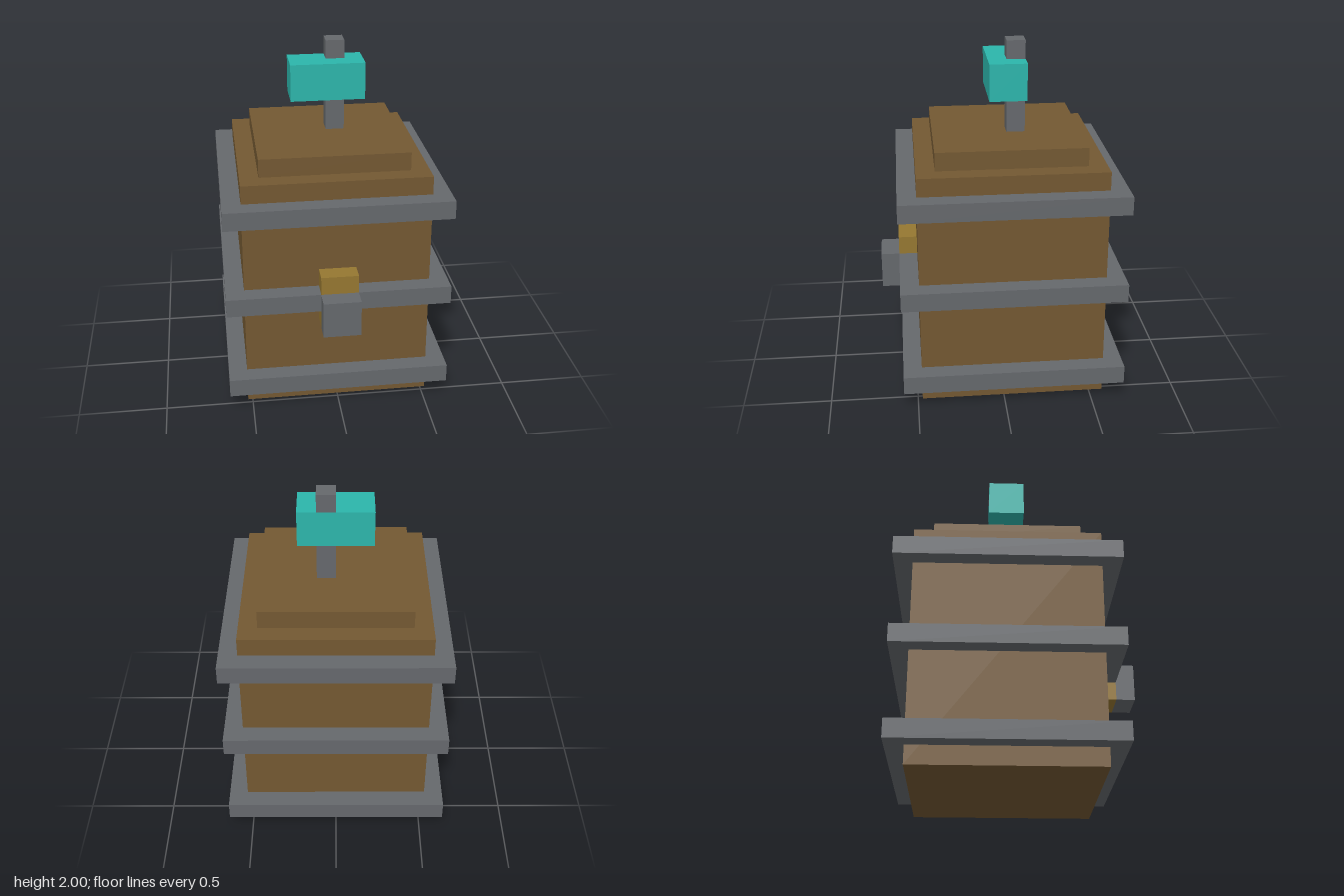
import * as THREE from 'three';

// Everything sits on a grid of 19 units to the full height of 2.
const U = 2 / 19;

const material = (name, color) => {
  const m = new THREE.MeshStandardMaterial({ color });
  m.name = name;
  return m;
};

export function createModel() {
  const wood = material('brown wood', 0x735832);
  const iron = material('grey iron', 0x65686c);
  const brass = material('dull brass', 0x957731);
  const teal = material('teal paint', 0x2cb5ab);

  const model = new THREE.Group();
  model.name = 'barrel';

  // Box given by its lowest and highest corners in grid units
  const addBox = (name, mat, [x0, y0, z0], [x1, y1, z1]) => {
    const geometry = new THREE.BoxGeometry((x1 - x0) * U, (y1 - y0) * U, (z1 - z0) * U);
    const mesh = new THREE.Mesh(geometry, mat);
    mesh.name = name;
    mesh.position.set(x0 + x1, y0 + y1, z0 + z1).multiplyScalar(U / 2);
    model.add(mesh);
  };

  // Square cask and its stepped lid
  addBox('body', wood, [-5, 0, -5.5], [5, 13, 4.5]);
  addBox('lid', wood, [-4, 13, -4.5], [4, 14, 3.5]);

  // Three iron bands
  ['lowerBand', 'middleBand', 'upperBand'].forEach((name, i) => {
    const y = 1 + i * 5;
    addBox(name, iron, [-6, y, -6.5], [6, y + 1, 5.5]);
  });

  // Front latch: brass plate with an iron block on it
  addBox('latchPlate', brass, [-1, 5, 4.5], [1, 8, 5.5]);
  addBox('latchBlock', iron, [-1, 5, 5.5], [1, 7, 6.5]);

  // Post on the lid, passing through a teal handle
  addBox('lowerPost', iron, [0, 14, -1.5], [1, 16, -0.5]);
  addBox('handle', teal, [-2, 16, -1.5], [2, 18, 0.5]);
  addBox('postTip', iron, [0, 18, -1.5], [1, 19, -0.5]);

  return model;
}
